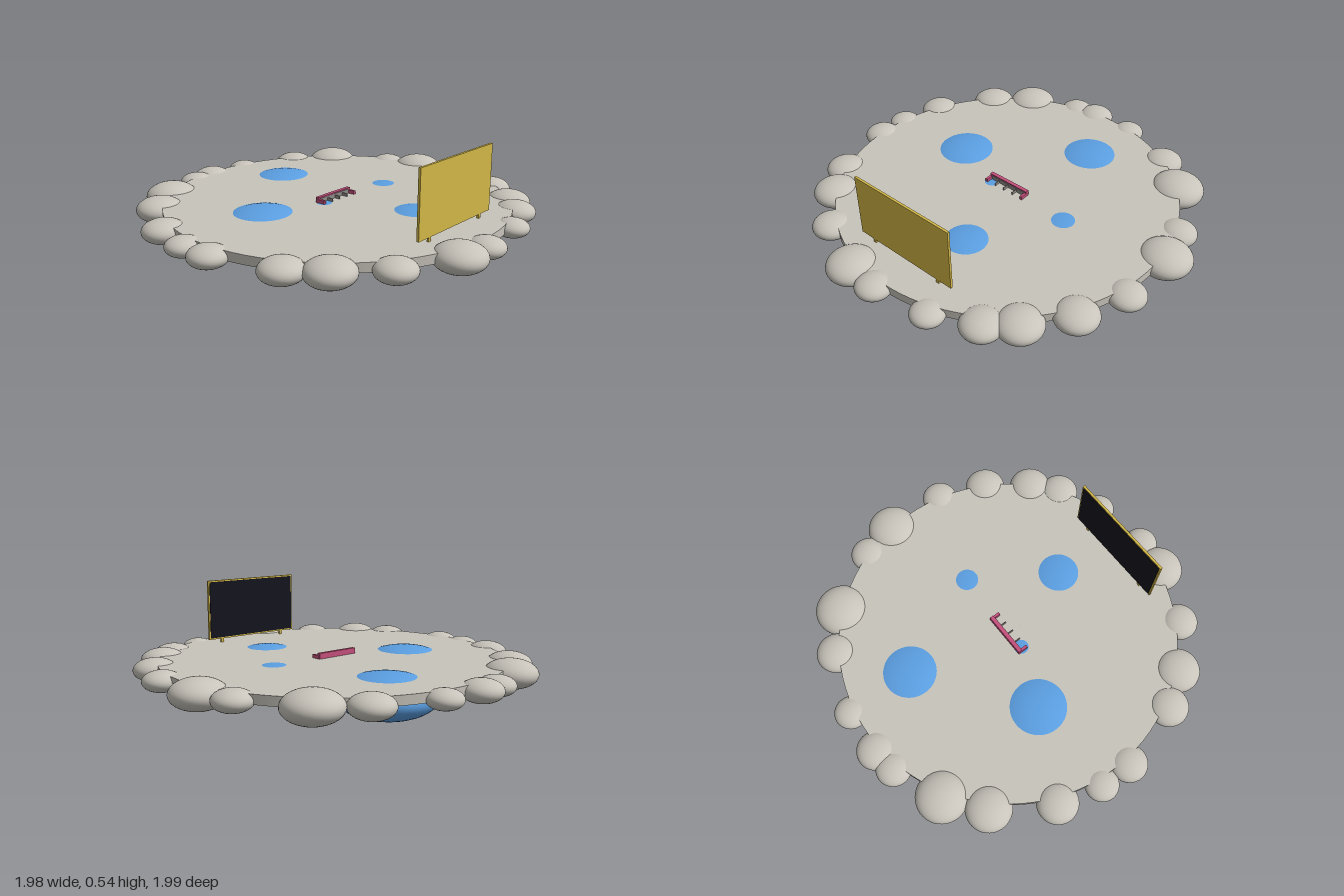
import * as THREE from 'three';

const mat = (name, color) => Object.assign(new THREE.MeshStandardMaterial({ color }), { name });

export function createModel() {
  const stone = mat('pale stone', 0xc8c4bb);
  const blue = mat('sky blue', 0x5b9fe2);
  const gold = mat('gold', 0xd4b848);
  const black = mat('screen black', 0x14141e);
  const pink = mat('sofa pink', 0xc4507c);
  const grey = mat('divider grey', 0x8f8c88);

  const model = new THREE.Group();
  model.name = 'floatingPlatform';
  const group = (name) => {
    const g = new THREE.Group();
    g.name = name;
    model.add(g);
    return g;
  };
  const add = (parent, name, geometry, material, x, y, z) => {
    const mesh = new THREE.Mesh(geometry, material);
    mesh.name = name;
    mesh.position.set(x, y, z);
    parent.add(mesh);
    return mesh;
  };
  const box = (parent, name, material, [w, h, d], [x, y, z]) =>
    add(parent, name, new THREE.BoxGeometry(w, h, d), material, x, y, z);

  const top = 0.19; // upper surface of the platform

  // Round platform
  add(model, 'platform', new THREE.CylinderGeometry(0.873, 0.873, 0.045, 96), stone, -0.003, top - 0.0225, 0.006);

  const sphere = new THREE.SphereGeometry(1, 40, 24);

  // Flattened puffs around the rim: x, z, radius
  const rim = group('rimPuffs');
  [
    [-0.12, -0.865, 0.132], [-0.31, -0.82, 0.095], [-0.605, -0.64, 0.138], [-0.76, -0.46, 0.105],
    [-0.88, -0.155, 0.085], [-0.89, 0.08, 0.1], [-0.875, 0.205, 0.09], [-0.77, 0.46, 0.132],
    [-0.627, 0.645, 0.117], [-0.35, 0.83, 0.105], [-0.125, 0.895, 0.086], [0.045, 0.9, 0.095],
    [0.39, 0.807, 0.105], [0.553, 0.695, 0.117], [0.74, 0.505, 0.098], [0.86, 0.215, 0.125],
    [0.885, 0.04, 0.09], [0.845, -0.26, 0.083], [0.74, -0.48, 0.102], [0.633, -0.605, 0.112],
    [0.436, -0.76, 0.107], [0.195, -0.86, 0.093],
  ].forEach(([x, z, r]) => add(rim, 'rimPuff', sphere, stone, x, 0.156, z).scale.set(r, r * 0.55, r));

  // Blue lobes below the platform: x, z, radius, radius of the cap showing above it
  const lobes = group('blueLobes');
  [
    [-0.527, -0.135, 0.24, 0.137], [0.415, -0.093, 0.208, 0.106], [0.008, -0.36, 0.187, 0.06],
    [-0.13, 0.41, 0.235, 0.144], [0.0, 0.11, 0.215, 0.04], [0.07, 0.02, 0.2, 0.006],
    [0.373, 0.308, 0.16, 0], [-0.466, 0.238, 0.168, 0],
  ].forEach(([x, z, r, cap]) => {
    const h = r * 0.44;
    const y = top - h * Math.sqrt(1 - (cap / r) ** 2) - (cap ? 0 : 0.004);
    add(lobes, 'blueLobe', sphere, blue, x, y, z).scale.set(r, h, r);
  });

  // Upright board with a dark screen facing the sofa
  const board = group('screenBoard');
  box(board, 'boardPanel', gold, [0.012, 0.327, 0.582], [0.704, 0.3735, 0.016]);
  box(board, 'screen', black, [0.004, 0.311, 0.566], [0.697, 0.3735, 0.016]);
  for (const z of [-0.19, 0.222]) box(board, 'boardLeg', gold, [0.01, 0.03, 0.016], [0.704, 0.2, z]);

  // Small open sofa with dividers
  const sofa = group('sofa');
  box(sofa, 'sofaBack', pink, [0.02, 0.03, 0.24], [-0.025, top + 0.014, 0.014]);
  for (const z of [-0.1, 0.128]) box(sofa, 'sofaArm', pink, [0.052, 0.018, 0.014], [-0.005, top + 0.009, z]);
  for (const z of [-0.043, 0.014, 0.071]) box(sofa, 'sofaDivider', grey, [0.036, 0.016, 0.004], [0.002, top + 0.008, z]);
  box(sofa, 'backLining', grey, [0.003, 0.024, 0.214], [-0.0135, top + 0.011, 0.014]);

  return model;
}
